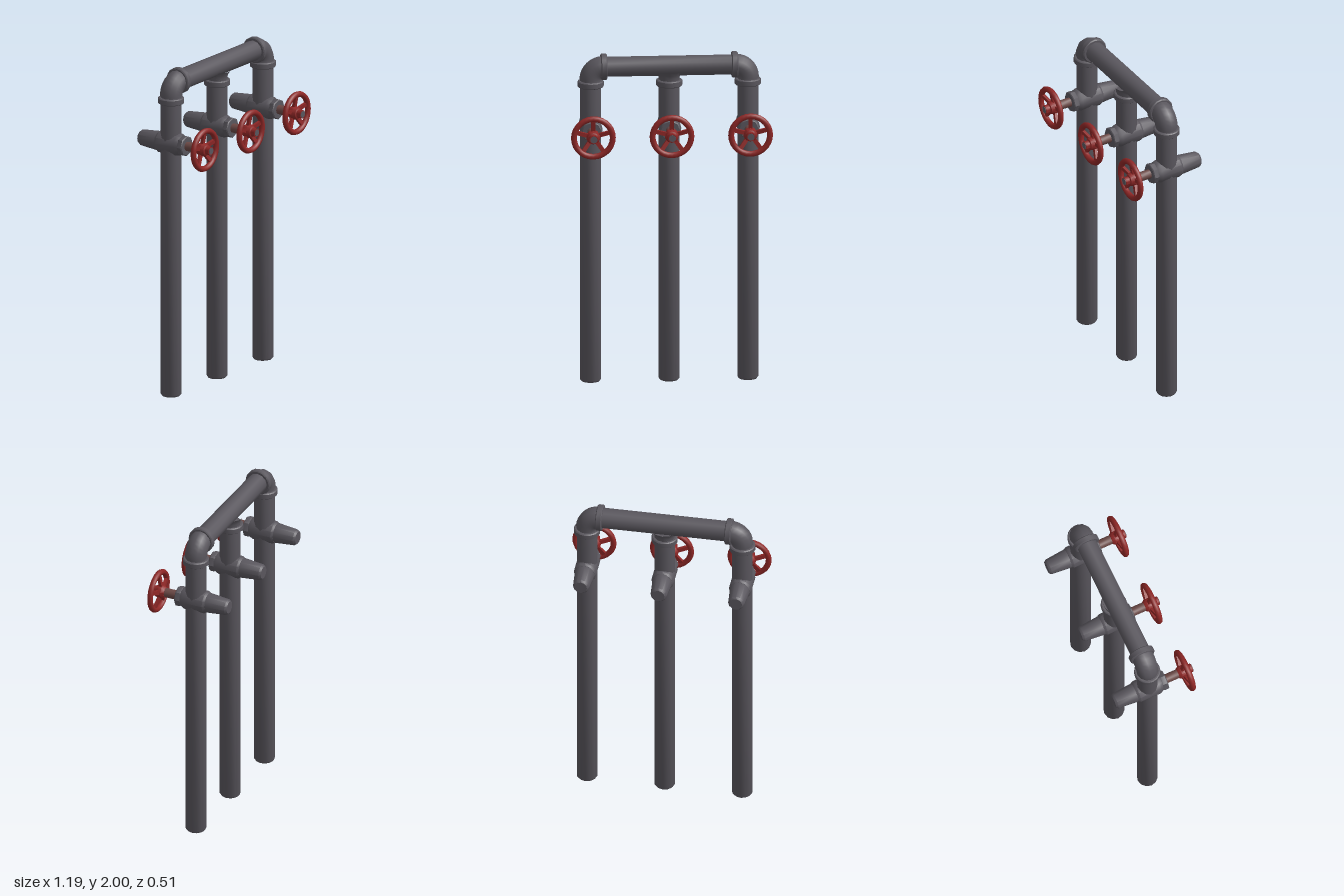
import * as THREE from 'three';
import { toCreasedNormals } from 'three/addons/utils/BufferGeometryUtils.js';

const PIPE_Z = -0.036, TOP_Y = 1.92, VALVE_Y = 1.553, SPACING = 0.465;

export function createModel() {
  const model = new THREE.Group();
  model.name = 'pipeManifold';
  const flat = (name, color) => {
    const m = new THREE.MeshStandardMaterial({ color });
    m.name = name;
    return m;
  };
  const iron = flat('darkIron', 0x59565d);
  const red = flat('valveRed', 0x8e2726);
  const rust = flat('stemBrown', 0x6a4845);

  const add = (parent, name, geometry, material, x = 0, y = 0, z = 0) => {
    const mesh = new THREE.Mesh(geometry, material);
    mesh.name = name;
    mesh.position.set(x, y, z);
    parent.add(mesh);
    return mesh;
  };
  // Solid of revolution from [radius, distance] pairs, laid along an axis
  const turned = (profile, axis = 'y', sides = 12) => {
    const g = new THREE.LatheGeometry(profile.map(([r, d]) => new THREE.Vector2(r, d)), sides);
    if (axis === 'z') g.rotateX(Math.PI / 2);
    if (axis === 'x') g.rotateZ(-Math.PI / 2);
    return toCreasedNormals(g, 0.7);
  };
  // Collar with chamfered rims
  const collar = (r, h, axis) => turned([
    [0, -h / 2], [r - 0.006, -h / 2], [r, -h / 2 + 0.005],
    [r, h / 2 - 0.005], [r - 0.006, h / 2], [0, h / 2]], axis, 16);

  // Horizontal header pipe
  add(model, 'headerPipe', turned([[0, -0.4], [0.061, -0.4], [0.061, 0.4], [0, 0.4]], 'x'),
    iron, 0, TOP_Y, PIPE_Z);

  // Corner elbows and the flanges beside them
  for (const side of [-1, 1]) {
    const bend = new THREE.TorusGeometry(0.075, 0.066, 12, 8, Math.PI / 2);
    if (side < 0) bend.rotateY(Math.PI);
    add(model, 'elbow', bend, iron, side * 0.39, TOP_Y - 0.075, PIPE_Z);
    add(model, 'headerFlange', collar(0.079, 0.037, 'x'), iron, side * 0.387, TOP_Y, PIPE_Z);
  }

  // Tee joint flaring into the header
  add(model, 'teeNeck', turned([[0.062, 1.82], [0.062, 1.85], [0.068, 1.87], [0.082, 1.89]]),
    iron, 0, 0, PIPE_Z);

  for (const x of [-SPACING, 0, SPACING]) {
    // Upright pipe with its collar
    add(model, 'uprightPipe', turned([
      [0, 0], [0.054, 0], [0.062, 0.01], [0.062, 1.85], [0, 1.85]]), iron, x, 0, PIPE_Z);
    add(model, 'uprightCollar', collar(0.078, 0.038, 'y'), iron, x, 1.818, PIPE_Z);
    model.add(makeValve(x));
  }

  function makeValve(x) {
    const valve = new THREE.Group();
    valve.name = 'valve';
    valve.position.set(x, VALVE_Y, 0);

    // Body crossing the pipe, with a tapered rear housing
    add(valve, 'valveBody', turned([
      [0, -0.118], [0.06, -0.118], [0.068, -0.105], [0.068, 0.025],
      [0.056, 0.05], [0, 0.05]], 'z'), iron);
    add(valve, 'rearHousing', turned([
      [0, -0.255], [0.038, -0.255], [0.048, -0.243], [0.059, -0.125], [0.06, -0.1]], 'z'), iron);
    add(valve, 'packingNut', turned([
      [0, 0.046], [0.06, 0.046], [0.062, 0.052], [0.062, 0.076],
      [0.057, 0.081], [0, 0.081]], 'z', 8), iron);
    add(valve, 'stem', turned([[0, 0.08], [0.028, 0.08], [0.028, 0.175], [0, 0.175]], 'z'), rust);

    // Hand wheel
    const wheel = new THREE.Group();
    wheel.name = 'handWheel';
    valve.add(wheel);
    add(wheel, 'rim', new THREE.TorusGeometry(0.115, 0.0175, 8, 28), red, 0, 0, 0.209);
    add(wheel, 'hub', turned([
      [0, 0.162], [0.03, 0.162], [0.042, 0.18], [0.042, 0.2], [0.034, 0.222],
      [0.026, 0.226], [0.026, 0.253], [0, 0.253]], 'z', 10), red);
    add(wheel, 'stemEnd', turned([[0, 0.252], [0.021, 0.252], [0.021, 0.256], [0, 0.256]], 'z', 10), iron);
    for (let i = 0; i < 5; i++) {
      const spoke = new THREE.BoxGeometry(0.085, 0.024, 0.018);
      spoke.rotateY(-0.2); // dished towards the hub
      spoke.translate(0.07, 0, 0.199);
      spoke.rotateZ(Math.PI / 2 + i * Math.PI * 2 / 5);
      add(wheel, 'spoke', spoke, red);
    }
    return valve;
  }

  return model;
}
